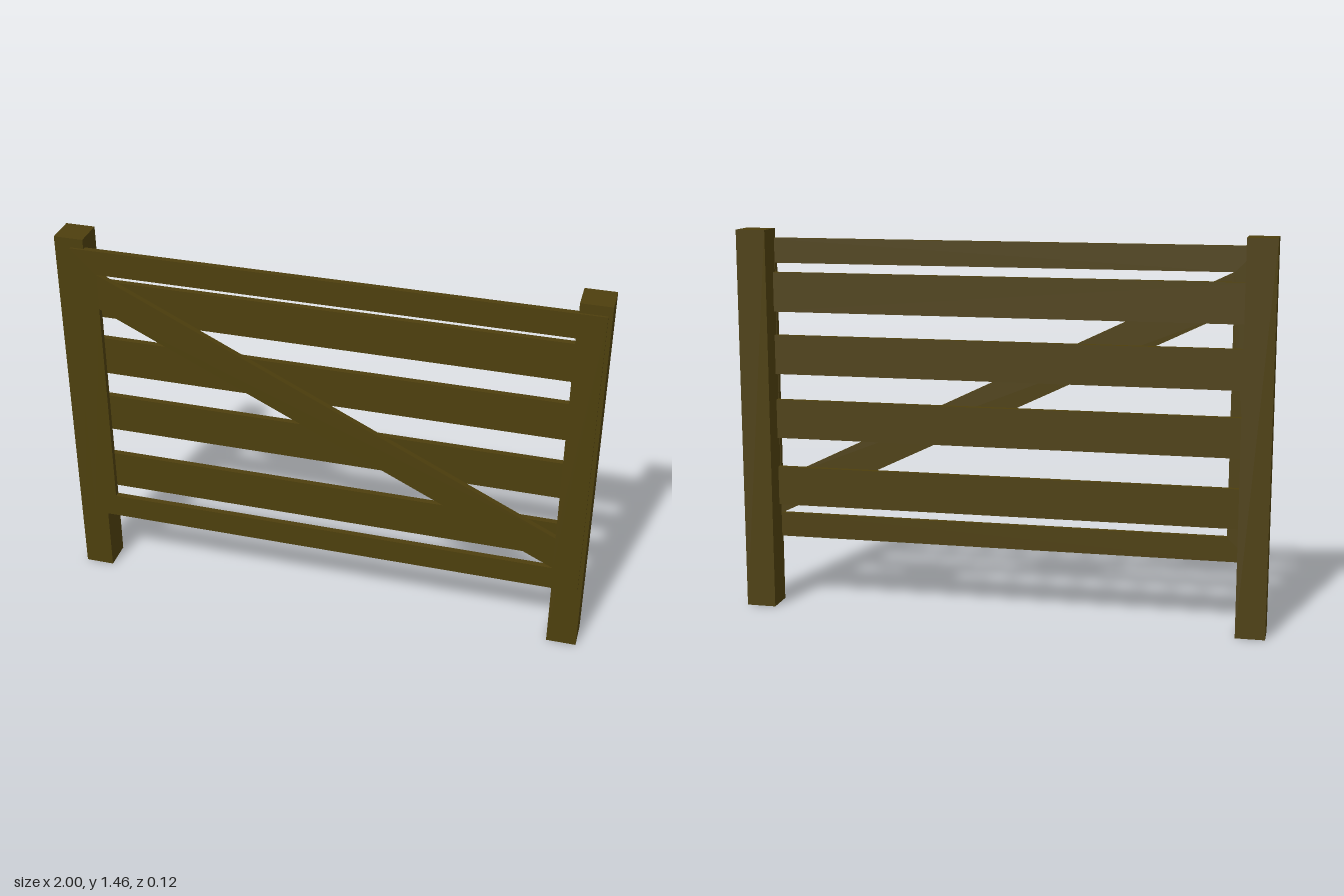
import * as THREE from 'three';

const wood = new THREE.MeshStandardMaterial({ color: 0x4d3f0d, flatShading: true });

// Box given by its min and max corners
function board(name, [x0, y0, z0], [x1, y1, z1]) {
  const mesh = new THREE.Mesh(new THREE.BoxGeometry(x1 - x0, y1 - y0, z1 - z0), wood);
  mesh.position.set((x0 + x1) / 2, (y0 + y1) / 2, (z0 + z1) / 2);
  mesh.name = name;
  return mesh;
}

const toPoints = (list) => list.map(([x, y]) => new THREE.Vector2(x, y));

export function createModel() {
  const gate = new THREE.Group();
  gate.name = 'gate';

  // Square posts
  gate.add(board('rightPost', [-1, 0, -0.06], [-0.89, 1.46, 0.053]));
  gate.add(board('leftPost', [0.887, 0, -0.06], [1, 1.46, 0.053]));

  // Front frame: rails, stiles and diagonal brace, cut from one outline
  const outline = new THREE.Shape(toPoints([[-0.94, 0.26], [0.985, 0.26], [0.985, 1.424], [-0.94, 1.424]]));
  outline.holes.push(
    new THREE.Path(toPoints([[-0.845, 1.33], [0.885, 1.33], [0.885, 0.49]])),
    new THREE.Path(toPoints([[-0.845, 1.19], [0.885, 0.353], [-0.845, 0.353]])),
  );
  const frame = new THREE.Mesh(
    new THREE.ExtrudeGeometry(outline, { depth: 0.022, bevelEnabled: false }), wood);
  frame.position.z = 0.039;
  frame.name = 'bracedFrame';
  gate.add(frame);

  // Horizontal slats behind the frame
  for (const y of [0.392, 0.656, 0.906, 1.146]) {
    gate.add(board('slat', [-0.92, y, 0.017], [0.92, y + 0.15, 0.039]));
  }
  return gate;
}
